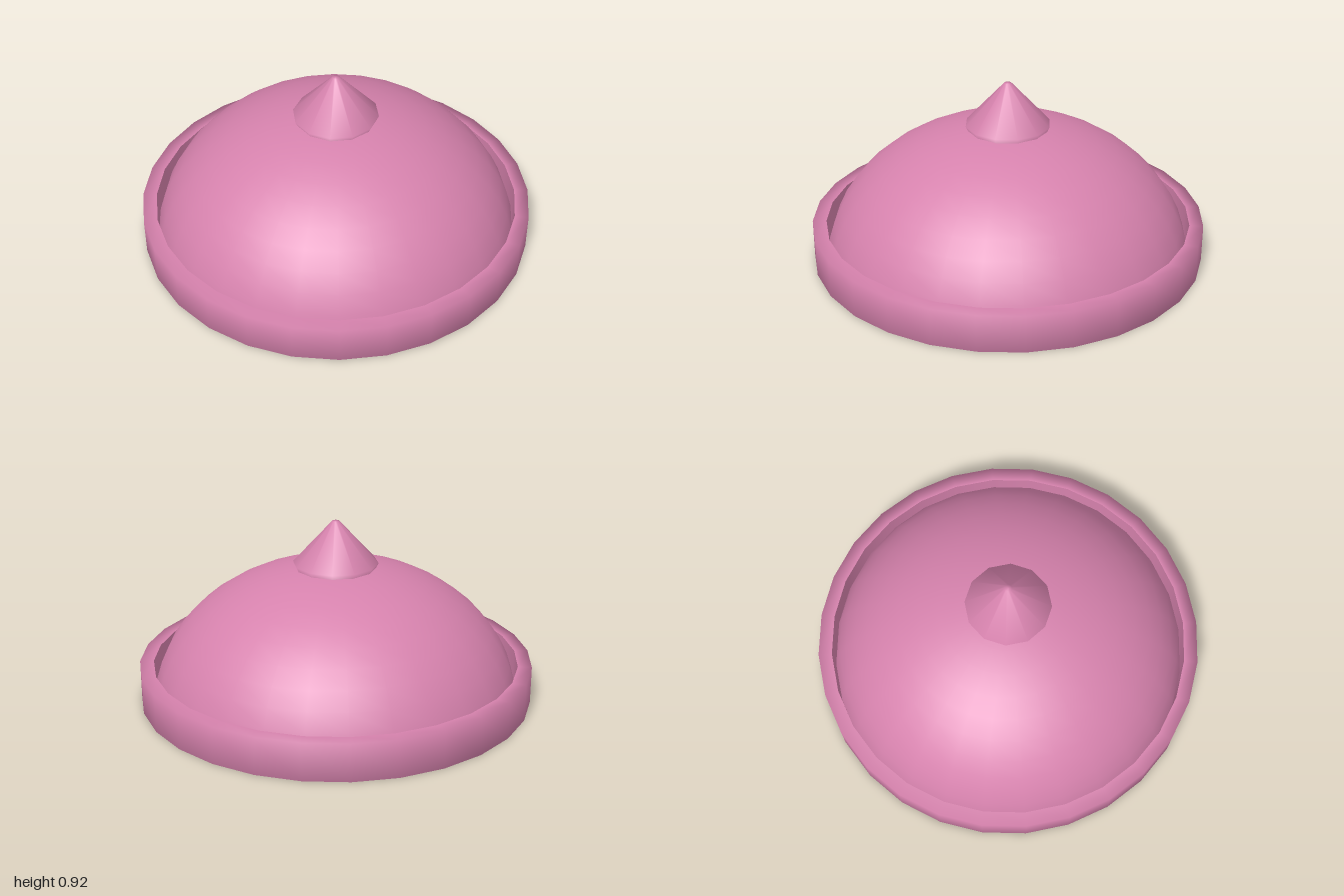
import * as THREE from 'three';

const material = new THREE.MeshStandardMaterial({ color: 0xd682ad, side: THREE.DoubleSide });

// Revolve [radius, height] pairs, listed bottom to top on the outside
function turned(name, profile, sides) {
  const geometry = new THREE.LatheGeometry(profile.map(([r, y]) => new THREE.Vector2(r, y)), sides);
  const mesh = new THREE.Mesh(geometry, material);
  mesh.name = name;
  return mesh;
}

// Elliptical arc from the foot of the dome up to its apex
function domeArc(radius, height, centreY, steps = 12) {
  const start = Math.asin(-centreY / height);
  return Array.from({ length: steps + 1 }, (_, i) => {
    const a = start + (Math.PI / 2 - start) * (i / steps);
    return [i === steps ? 0 : radius * Math.cos(a), centreY + height * Math.sin(a)];
  });
}

export function createModel() {
  const group = new THREE.Group();
  group.name = 'domedLid';

  // Hollow dome: outer skin, inner skin and the lip joining them underneath
  const outer = domeArc(0.932, 0.73, -0.035);
  const inner = domeArc(0.895, 0.695, -0.035);
  group.add(turned('domeOuter', outer, 28));
  group.add(turned('domeInner', inner.slice().reverse(), 28));
  group.add(turned('domeLip', [inner[0], outer[0]], 28));

  // Rim band: soft outer corners, sharp inner edges
  group.add(turned('rim', [[0.93, 0], [1, 0], [1, 0.19], [0.93, 0.19]], 28));
  group.add(turned('rimInnerWall', [[0.93, 0.19], [0.93, 0]], 28));

  // Pointed knob with a blunt tip; its tapered foot passes through the dome
  group.add(turned('knob', [[0.18, 0.625], [0.215, 0.7], [0.018, 0.915], [0, 0.916]], 12));
  group.add(turned('knobBase', [[0, 0.625], [0.18, 0.625]], 12));

  return group;
}
